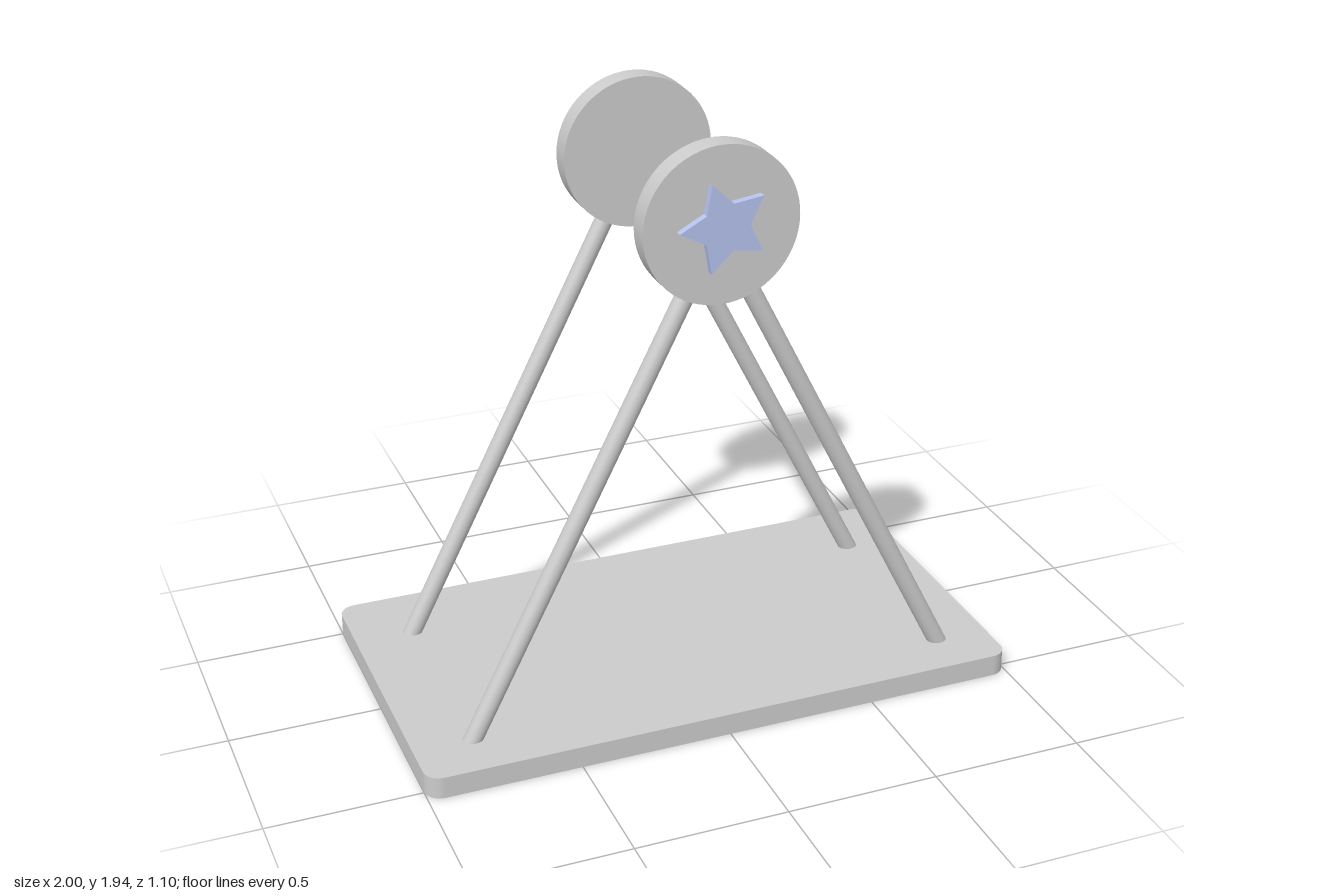
import * as THREE from 'three';

const grey = new THREE.MeshStandardMaterial({ color: 0xcccccc });
const blue = new THREE.MeshStandardMaterial({ color: 0xb4c2ee });

const CX = 0.008, DISC_Y = 1.687, DISC_R = 0.25, DISC_T = 0.074;

function add(parent, name, geometry, material = grey) {
  const mesh = new THREE.Mesh(geometry, material);
  mesh.name = name;
  parent.add(mesh);
  return mesh;
}

// Flat slab with rounded vertical corners, lying on y = 0
function baseGeometry(w, d, h, r) {
  const x = w / 2, y = d / 2;
  const s = new THREE.Shape();
  s.moveTo(-x + r, -y);
  s.lineTo(x - r, -y).absarc(x - r, -y + r, r, -Math.PI / 2, 0);
  s.lineTo(x, y - r).absarc(x - r, y - r, r, 0, Math.PI / 2);
  s.lineTo(-x + r, y).absarc(-x + r, y - r, r, Math.PI / 2, Math.PI);
  s.lineTo(-x, -y + r).absarc(-x + r, -y + r, r, Math.PI, Math.PI * 1.5);
  return new THREE.ExtrudeGeometry(s, { depth: h, bevelEnabled: false, curveSegments: 8 }).rotateX(-Math.PI / 2);
}

// Five-pointed star with one tip towards -x
function starGeometry(outer, inner, depth) {
  const points = [];
  for (let i = 0; i < 10; i++) {
    const a = Math.PI + (i * Math.PI) / 5, r = i % 2 ? inner : outer;
    points.push(new THREE.Vector2(Math.cos(a) * r, Math.sin(a) * r));
  }
  return new THREE.ExtrudeGeometry(new THREE.Shape(points), { depth, bevelEnabled: false });
}

// Round rod between two points
function rod(parent, name, from, to, radius) {
  const dir = to.clone().sub(from);
  const mesh = add(parent, name, new THREE.CylinderGeometry(radius, radius, dir.length(), 32));
  mesh.position.copy(from).addScaledVector(dir, 0.5);
  mesh.quaternion.setFromUnitVectors(new THREE.Vector3(0, 1, 0), dir.normalize());
}

// A-shaped support: two slanted legs meeting behind a round disc
function support(name, z) {
  const g = new THREE.Group();
  g.name = name;
  g.position.set(CX, 0, z);
  for (const [side, sx] of [['left', 1], ['right', -1]]) {
    rod(g, side + 'Leg', new THREE.Vector3(sx * 0.833, 0.03, 0), new THREE.Vector3(sx * 0.06, 1.55, 0), 0.03);
  }
  const disc = add(g, 'disc', new THREE.CylinderGeometry(DISC_R, DISC_R, DISC_T, 64).rotateX(Math.PI / 2));
  disc.position.y = DISC_Y;
  return g;
}

export function createModel() {
  const model = new THREE.Group();
  model.name = 'standWithDiscs';

  add(model, 'base', baseGeometry(2, 1.1, 0.074, 0.055));

  const front = support('frontSupport', 0.38);
  const back = support('backSupport', -0.311);
  model.add(front, back);

  // Raised star on the front disc
  const star = add(front, 'star', starGeometry(0.147, 0.077, 0.03), blue);
  star.position.set(0.003, DISC_Y, DISC_T / 2 - 0.006);

  return model;
}
